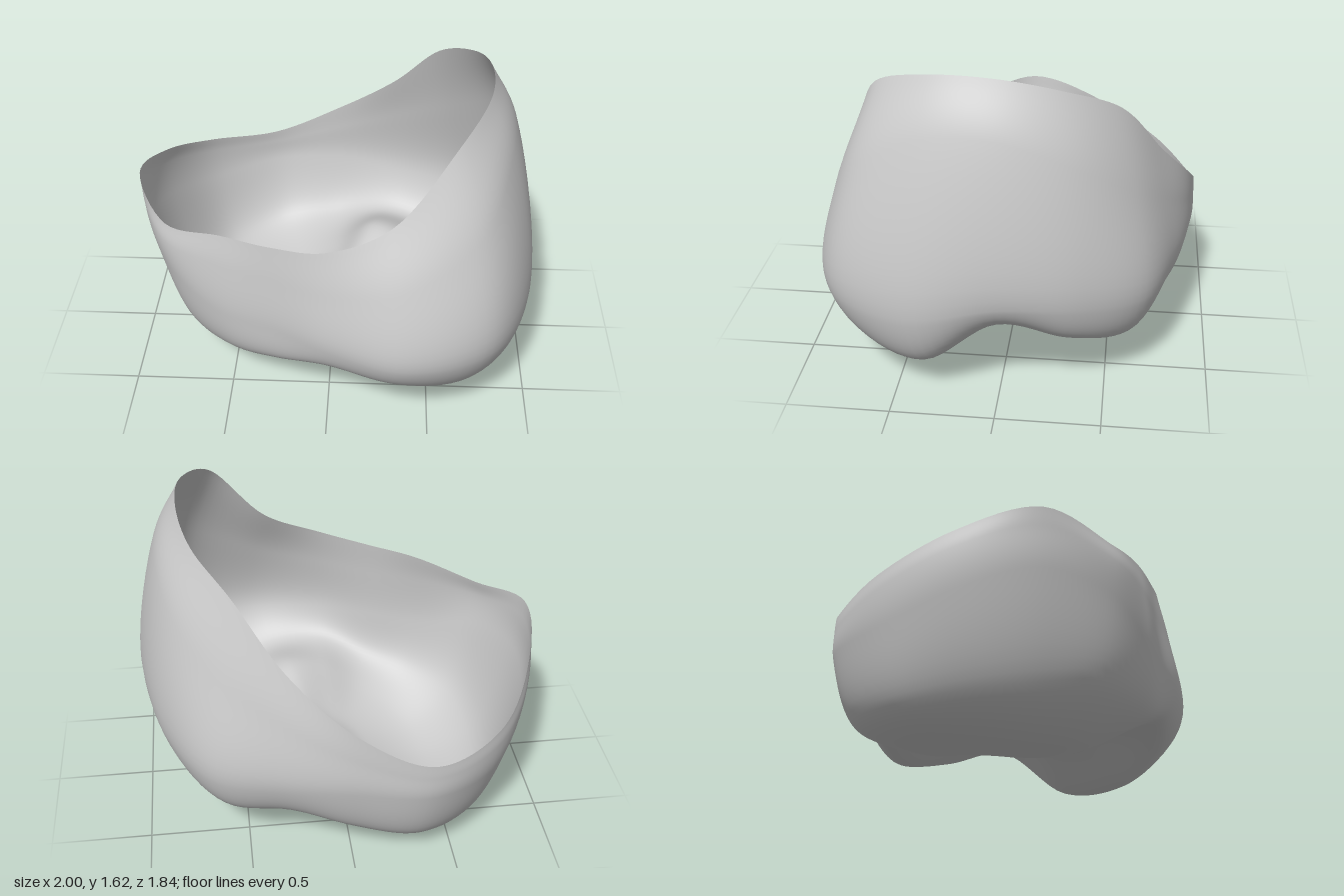
import * as THREE from 'three';

// Each ring holds [radius, height] at 16 even headings, from +x round through +z
const rim = [
  [.755, 1.6], [.79, 1.6], [.82, 1.5], [.77, 1.15], [.73, 1.02], [.69, .97], [.73, .94], [.88, .87],
  [.995, .94], [1.0, .84], [1.02, .7], [.98, .65], [.88, .84], [.79, 1.1], [.75, 1.4], [.75, 1.53]];
const shoulder = [
  [.88, 1.36], [.92, 1.34], [1.0, 1.1], [.91, .87], [.78, .8], [.71, .78], [.76, .78], [.9, .78],
  [.985, .85], [1.01, .75], [1.025, .62], [.985, .58], [.89, .7], [.85, .85], [.87, 1.02], [.88, 1.22]];
const belly = [
  [.975, .57], [1.065, .5], [1.11, .49], [.99, .47], [.81, .5], [.72, .5], [.77, .5], [.88, .6],
  [.955, .66], [.98, .56], [1.0, .45], [.98, .46], [.89, .5], [.88, .5], [.96, .5], [.965, .55]];
const cuspEdge = [
  [.83, .41], [.91, .19], [.88, .17], [.83, .27], [.73, .33], [.67, .27], [.7, .23], [.76, .21],
  [.76, .15], [.79, .12], [.85, .1], [.85, .13], [.77, .2], [.75, .27], [.82, .24], [.84, .32]];
const floorRing = [
  [.48, .39], [.48, .31], [.48, .29], [.48, .33], [.48, .28], [.48, .17], [.48, .09], [.5, .03],
  [.5, 0], [.52, 0], [.53, .01], [.52, .04], [.48, .15], [.48, .32], [.48, .34], [.48, .37]];
// Gently tilted middle of the underside
const innerRing = rim.map((_, i) => [.2, .14 + .1 * Math.cos(i / rim.length * Math.PI * 2)]);

function ringCurve(ring) {
  const points = ring.map(([r, y], i) => {
    const a = i / ring.length * Math.PI * 2;
    return new THREE.Vector3(r * Math.cos(a), y, r * Math.sin(a));
  });
  return new THREE.CatmullRomCurve3(points, true);
}

function shellGeometry(around, down) {
  const rings = [rim, shoulder, belly, cuspEdge, floorRing, innerRing].map(ringCurve);
  const innerCurve = rings[rings.length - 1];
  const center = new THREE.Vector3(0, .14, 0);
  const positions = [], index = [];
  for (let i = 0; i < around; i++) {
    // Profile from the rim, over the wall and under to the middle;
    // the opposite inner point keeps it smooth through the middle
    const section = rings.map((ring) => ring.getPoint(i / around));
    const opposite = innerCurve.getPoint((i / around + .5) % 1);
    const profile = new THREE.CatmullRomCurve3([...section, center, opposite]);
    const middle = rings.length / (rings.length + 1);
    for (let j = 0; j <= down; j++) {
      positions.push(...profile.getPoint(j / down * middle).toArray());
      if (j === down) continue;
      const a = i * (down + 1) + j;
      const b = ((i + 1) % around) * (down + 1) + j;
      index.push(a, b, a + 1);
      if (j < down - 1) index.push(b, b + 1, a + 1);
    }
  }
  const geometry = new THREE.BufferGeometry();
  geometry.setAttribute('position', new THREE.Float32BufferAttribute(positions, 3));
  geometry.setIndex(index);
  geometry.computeVertexNormals();
  return geometry;
}

export function createModel() {
  const group = new THREE.Group();
  group.name = 'openShell';
  // Thin open crown shell with a two-lobed underside
  const material = new THREE.MeshStandardMaterial({ color: 0xcccccc, side: THREE.DoubleSide });
  const shell = new THREE.Mesh(shellGeometry(128, 60), material);
  shell.name = 'crownShell';
  group.add(shell);
  return group;
}
